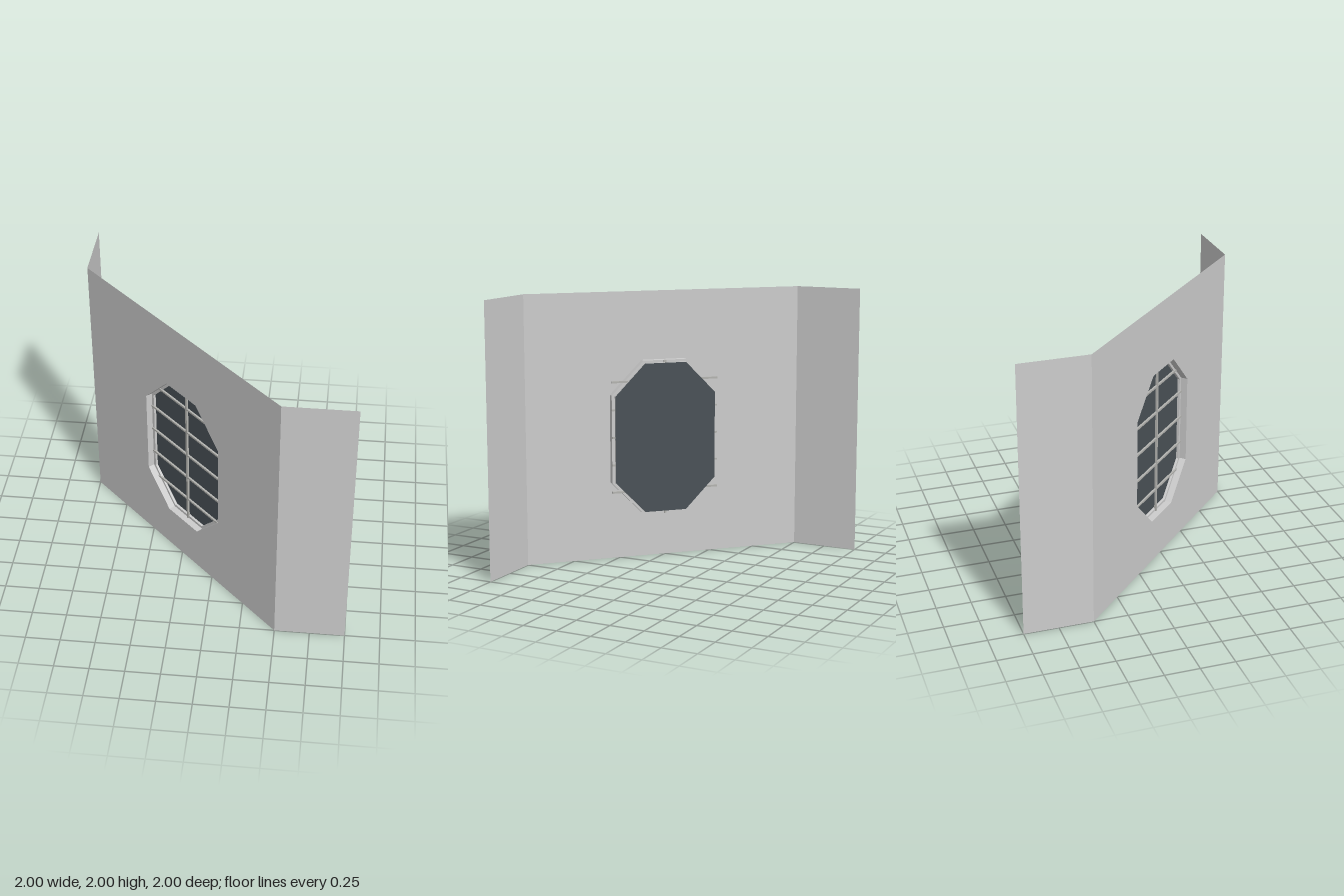
import * as THREE from 'three';

// Octagon corners: half width, half height, half length of flat top, half length of straight side
const octagon = (w, h, t, s) => [
  [w, -s], [w, s], [t, h], [-t, h], [-w, s], [-w, -s], [-t, -h], [t, -h],
].map(([x, y]) => new THREE.Vector2(x, y));

// Faceted strip joining two octagons at depths za and zb
function band(a, za, b, zb) {
  const pos = [];
  a.forEach((p, i) => {
    const j = (i + 1) % a.length;
    const A = [p.x, p.y, za], B = [a[j].x, a[j].y, za];
    const C = [b[j].x, b[j].y, zb], D = [b[i].x, b[i].y, zb];
    pos.push(...A, ...C, ...B, ...A, ...D, ...C);
  });
  const g = new THREE.BufferGeometry();
  g.setAttribute('position', new THREE.Float32BufferAttribute(pos, 3));
  g.computeVertexNormals();
  return g;
}

export function createModel() {
  const plaster = new THREE.MeshStandardMaterial({ color: 0xcccccc, side: THREE.DoubleSide });
  plaster.name = 'plaster';
  const barMetal = new THREE.MeshStandardMaterial({ color: 0xb4b4b0 });
  barMetal.name = 'barMetal';
  const glass = new THREE.MeshStandardMaterial({ color: 0x4a5257, side: THREE.DoubleSide });
  glass.name = 'darkGlass';

  const model = new THREE.Group();
  model.name = 'cornerWallWithWindow';
  const add = (parent, name, geometry, material, x = 0, y = 0, z = 0) => {
    const mesh = new THREE.Mesh(geometry, material);
    mesh.name = name;
    mesh.position.set(x, y, z);
    parent.add(mesh);
    return mesh;
  };

  // Straight walls at both ends of the diagonal wall
  add(model, 'frontWall', new THREE.PlaneGeometry(0.5, 2), plaster, 0.75, 1, 1);
  add(model, 'sideWall', new THREE.PlaneGeometry(0.5, 2), plaster, -1, 1, -0.75).rotation.y = Math.PI / 2;

  // Diagonal wall, centred on the window opening
  const diagonal = new THREE.Group();
  diagonal.name = 'diagonalWallAndWindow';
  diagonal.position.set(-0.24, 0.91, 0.26);
  diagonal.rotation.y = -Math.PI / 4;
  model.add(diagonal);

  const outer = octagon(0.41, 0.58, 0.165, 0.33);
  const inner = octagon(0.387, 0.56, 0.159, 0.325);
  const half = 0.75 * Math.SQRT2, shift = -0.01 * Math.SQRT2;
  const wall = new THREE.Shape([
    [shift - half, -0.91], [shift + half, -0.91], [shift + half, 1.09], [shift - half, 1.09],
  ].map(([x, y]) => new THREE.Vector2(x, y)));
  wall.holes.push(new THREE.Path([...outer].reverse()));
  add(diagonal, 'diagonalWall', new THREE.ShapeGeometry(wall), plaster);

  // Stepped window recess
  add(diagonal, 'outerReveal', band(outer, 0, outer, -0.05), plaster);
  add(diagonal, 'recessStep', band(outer, -0.05, inner, -0.05), plaster);
  add(diagonal, 'innerReveal', band(inner, -0.05, inner, -0.068), plaster);
  add(diagonal, 'windowPane', new THREE.ShapeGeometry(new THREE.Shape(inner)), glass, 0, 0, -0.068);

  // Glazing bars
  add(diagonal, 'verticalBar', new THREE.BoxGeometry(0.018, 1.16, 0.014), barMetal, 0, 0, -0.05);
  for (let i = -2; i <= 2; i++) {
    add(diagonal, 'horizontalBar', new THREE.BoxGeometry(0.82, 0.014, 0.014), barMetal, 0, 0.016 + i * 0.207, -0.05);
  }
  return model;
}
